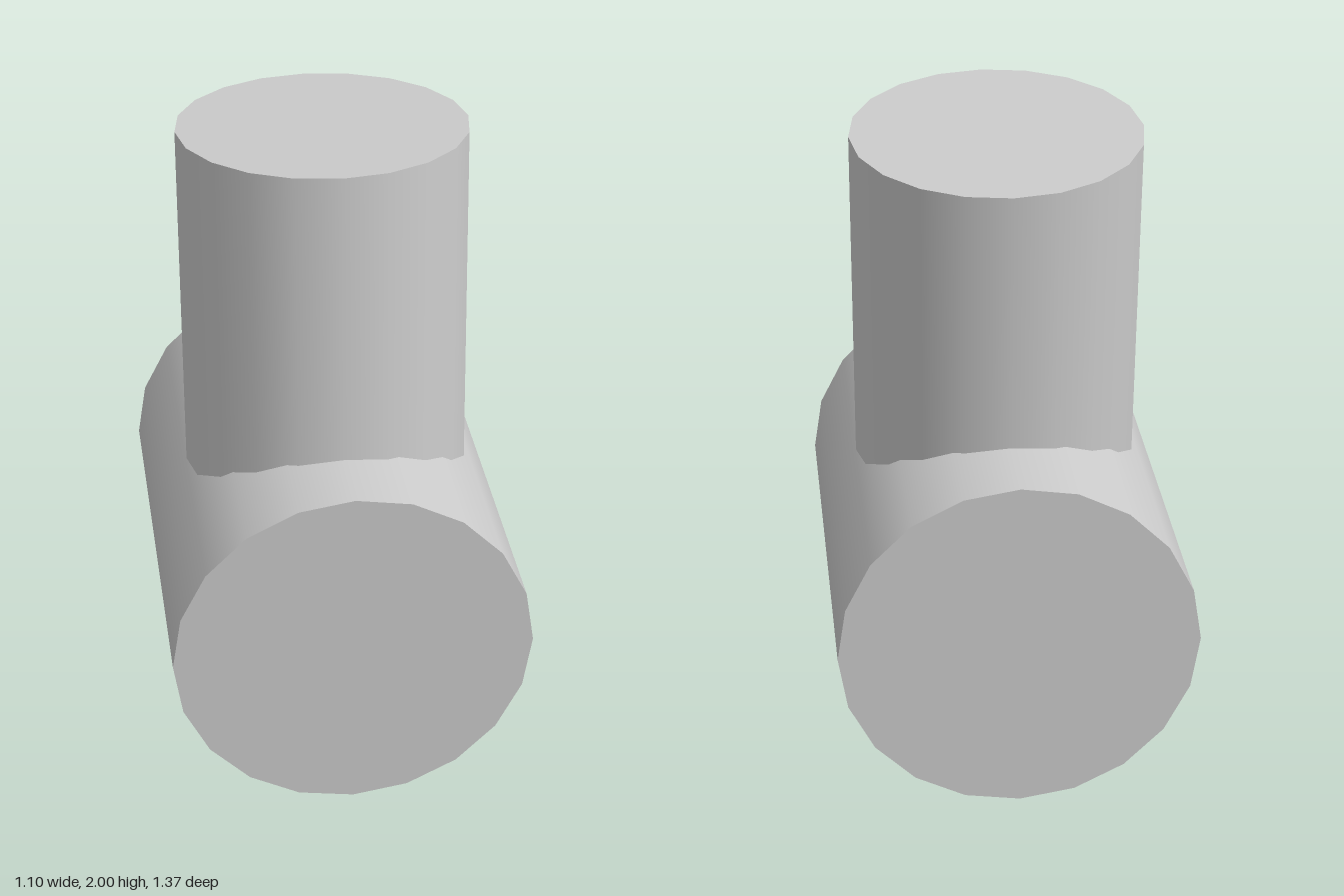
import * as THREE from 'three';

export function createModel() {
  const group = new THREE.Group();
  const material = new THREE.MeshStandardMaterial({ color: 0xcccccc });

  // 20-sided solid cylinder, tilted about x
  function addCylinder(name, radius, length, position, tilt) {
    const mesh = new THREE.Mesh(new THREE.CylinderGeometry(radius, radius, length, 20), material);
    mesh.name = name;
    mesh.position.set(...position);
    mesh.rotation.x = tilt;
    group.add(mesh);
  }

  // Lying body, dipping very slightly towards the front
  addCylinder('body', 0.548, 1.358, [0, 0.559, 0.002], Math.PI / 2 + 0.0085);

  // Upright stem leaning back, its lower end sunk into the body
  const tilt = -0.065;
  const length = 1.4;
  const topY = 1.972, topZ = -0.035;
  addCylinder('stem', 0.44, length,
    [0, topY - Math.cos(tilt) * length / 2, topZ - Math.sin(tilt) * length / 2], tilt);

  return group;
}
